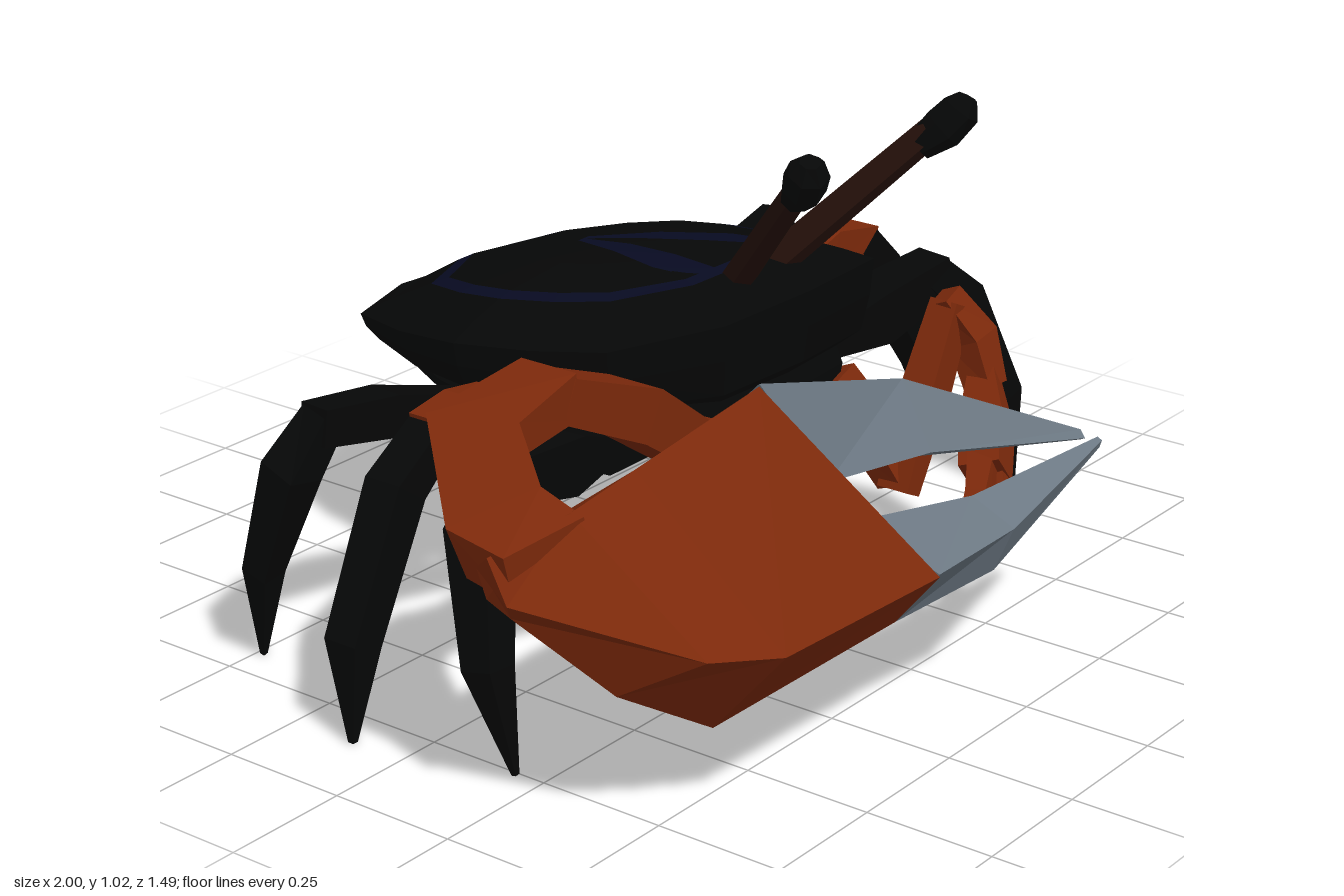
import * as THREE from 'three';

const V = (x, y, z) => new THREE.Vector3(x, y, z);
const mat = (color) => new THREE.MeshStandardMaterial({ color, flatShading: true, side: THREE.DoubleSide });
const SHELL = mat(0x060707), BLUE = mat(0x080b22), RUST = mat(0x7c290b), GREY = mat(0x6c7883), STALK = mat(0x26110a);

// Skin a list of equal-sized rings; faces are turned outward from the centre point
function loft(name, rings, material, { caps = true, centre = null } = {}) {
  const n = rings[0].length, pts = rings.flat(), idx = [];
  const mean = (list) => list.reduce((a, p) => a.add(p), V(0, 0, 0)).divideScalar(list.length);
  const ref = centre || mean(pts);
  for (let r = 0; r < rings.length - 1; r++) {
    for (let i = 0; i < n; i++) {
      const a = r * n + i, b = r * n + (i + 1) % n;
      idx.push(a, b, a + n, b, b + n, a + n);
    }
  }
  if (caps) {
    const last = (rings.length - 1) * n;
    const c0 = pts.push(mean(rings[0])) - 1, c1 = pts.push(mean(rings[rings.length - 1])) - 1;
    for (let i = 0; i < n; i++) {
      const j = (i + 1) % n;
      idx.push(c0, j, i, c1, last + i, last + j);
    }
  }
  let volume = 0;
  for (let k = 0; k < idx.length; k += 3) {
    const [a, b, c] = [0, 1, 2].map((q) => pts[idx[k + q]].clone().sub(ref));
    volume += a.dot(b.cross(c));
  }
  if (volume < 0) idx.reverse();
  const g = new THREE.BufferGeometry().setFromPoints(pts);
  g.setIndex(idx);
  g.computeVertexNormals();
  const mesh = new THREE.Mesh(g, material);
  mesh.name = name;
  return mesh;
}

// Jointed limb: nodes are [x, y, z, half height, half width]
function limb(name, nodes, material, sides = 4) {
  const p = nodes.map((q) => V(q[0], q[1], q[2]));
  const rings = nodes.map((q, k) => {
    const t = p[Math.min(k + 1, p.length - 1)].clone().sub(p[Math.max(k - 1, 0)]).normalize();
    const w = V(0, 0, 1).addScaledVector(t, -t.z).normalize();
    const h = t.clone().cross(w);
    return Array.from({ length: sides }, (_, i) => {
      const a = (i + 0.5) / sides * Math.PI * 2, corner = sides === 4 ? 1.41 : 1;
      return p[k].clone().addScaledVector(h, Math.sin(a) * q[3] * corner)
        .addScaledVector(w, Math.cos(a) * (q[4] ?? q[3]) * corner);
    });
  });
  return loft(name, rings, material);
}

// Piecewise linear lookup, table sorted by its first column
function lookup(table, v) {
  for (let i = 1; i < table.length; i++) {
    const [a, ya] = table[i - 1], [b, yb] = table[i];
    if (v <= b) return ya + (yb - ya) * Math.max(0, (v - a) / (b - a));
  }
  return table[table.length - 1][1];
}

function buildBody() {
  const body = new THREE.Group();
  body.name = 'body';
  const cx = 0.02, cz = -0.2, centre = V(cx, 0.5, cz);
  const half = [[0, -0.75], [0.27, -0.61], [0.35, -0.44], [0.39, -0.27], [0.38, -0.1], [0.34, 0.05], [0.23, 0.23], [0, 0.25]];
  const outline = [...half, ...half.slice(1, -1).reverse().map(([x, z]) => [-x, z])];
  const rim = (z) => lookup([[-0.75, 0.47], [-0.6, 0.52], [-0.27, 0.57], [0.05, 0.61], [0.25, 0.675]], z);
  const ridge = (z) => lookup([[-0.75, 0.48], [-0.57, 0.59], [-0.3, 0.655], [0, 0.705], [0.14, 0.755], [0.25, 0.755]], z);
  const belly = (z) => lookup([[-0.6, 0.41], [-0.3, 0.385], [0.05, 0.365], [0.25, 0.4]], z);
  const topY = (z, s) => rim(z) + (ridge(z) - rim(z)) * (1 - s ** 3);
  const top = (s) => outline.map(([x, z]) => {
    const zz = cz + (z - cz) * s;
    return V(cx + x * s, topY(zz, s), zz);
  });
  // Lower rings: the face stays steep in front, and the belly stops short of the tail
  const under = (s, t) => outline.map(([x, z]) => {
    const sz = z > 0.2 && s > 0.5 ? (1 + s) / 2 : s;
    const zz = Math.max(cz + (z - cz) * sz, t > 0.6 ? -0.58 : -0.75);
    return V(cx + x * s, rim(zz) + (belly(zz) - rim(zz)) * t, zz);
  });
  const open = { caps: false, centre };

  // Domed shell with a dark blue horseshoe band
  body.add(loft('carapaceEdge', [top(1), top(0.88), top(0.72)], SHELL, open));
  body.add(loft('carapaceBand', [top(0.72), top(0.65)], BLUE, open));
  body.add(loft('carapaceCentre', [top(0.65), top(0.35), top(0)], SHELL, open));
  // Overhanging rim, groove and belly
  body.add(loft('underside', [top(1), under(0.98, 0.25), under(0.93, 0.5), under(0.78, 0.58),
    under(0.82, 0.72), under(0.79, 0.92), under(0.68, 1), under(0, 1)], SHELL, open));

  // Forked mark on the shell
  for (const side of [1, -1]) {
    const steps = [[0, 0.015, -0.28], [0.02, 0.07, -0.15], [0.05, 0.12, -0.02], [0.085, 0.13, 0.1]];
    const pos = [], idx = [];
    steps.forEach(([a, b, z], k) => {
      for (const x of [a, b]) {
        const s = Math.hypot(x / 0.39, (z - cz) / 0.46);
        pos.push(V(cx + side * x, topY(z, s) + 0.006, z));
      }
      if (k) {
        const o = 2 * k;
        idx.push(o - 2, o, o - 1, o - 1, o, o + 1);
      }
    });
    if (side < 0) idx.reverse();
    const g = new THREE.BufferGeometry().setFromPoints(pos);
    g.setIndex(idx);
    g.computeVertexNormals();
    const mark = new THREE.Mesh(g, BLUE);
    mark.name = 'shellMark';
    body.add(mark);
  }
  return body;
}

function buildEyes() {
  const eyes = new THREE.Group();
  eyes.name = 'eyes';
  for (const s of [1, -1]) {
    const x = (d) => 0.02 + s * d;
    eyes.add(limb('eyeStalk', [[x(0.06), 0.69, 0.13, 0.032], [x(0.2), 0.95, 0.37, 0.027]], STALK, 6));
    eyes.add(limb('eye', [[x(0.19), 0.92, 0.35, 0.028], [x(0.215), 0.955, 0.385, 0.041],
      [x(0.235), 0.99, 0.41, 0.038], [x(0.242), 1.012, 0.418, 0.02]], SHELL, 7));
  }
  return eyes;
}

function buildLegs() {
  const legs = new THREE.Group();
  legs.name = 'legs';
  const add = (name, thighMat, hip, thigh, shin) => {
    legs.add(limb(name + 'Hip', hip, thighMat));
    legs.add(limb(name + 'Thigh', thigh, thighMat));
    legs.add(limb(name + 'Shin', shin, SHELL));
  };
  // Left side, spread wide
  add('leftFrontLeg', SHELL, [[0.22, 0.41, 0.02, 0.035], [0.38, 0.42, 0.035, 0.035]],
    [[0.36, 0.42, 0.03, 0.028], [0.5, 0.45, 0.055, 0.055, 0.05], [0.69, 0.49, 0.08, 0.04]],
    [[0.65, 0.5, 0.08, 0.035], [0.73, 0.42, 0.1, 0.045], [0.82, 0.2, 0.155, 0.035], [0.815, 0, 0.195, 0.005]]);
  add('leftMiddleLeg', RUST, [[0.22, 0.43, -0.11, 0.03], [0.42, 0.45, -0.11, 0.032]],
    [[0.39, 0.45, -0.11, 0.035], [0.5, 0.51, -0.11, 0.04], [0.58, 0.535, -0.11, 0.033], [0.7, 0.51, -0.11, 0.037]],
    [[0.68, 0.52, -0.11, 0.03, 0.038], [0.75, 0.44, -0.11, 0.04], [0.94, 0.19, -0.11, 0.036], [0.99, 0, -0.11, 0.006]]);
  add('leftRearLeg', SHELL, [[0.24, 0.4, -0.26, 0.035], [0.4, 0.43, -0.275, 0.035]],
    [[0.38, 0.44, -0.27, 0.03], [0.54, 0.48, -0.29, 0.04], [0.72, 0.5, -0.33, 0.035]],
    [[0.68, 0.51, -0.32, 0.03], [0.76, 0.42, -0.36, 0.04], [0.88, 0.2, -0.43, 0.028], [0.93, 0, -0.485, 0.005]]);
  // Right side, tucked under more steeply
  add('rightFrontLeg', SHELL, [[-0.18, 0.41, 0.02, 0.035], [-0.34, 0.42, 0.035, 0.035]],
    [[-0.32, 0.42, 0.03, 0.028], [-0.46, 0.45, 0.05, 0.055, 0.05], [-0.68, 0.49, 0.08, 0.04]],
    [[-0.65, 0.5, 0.08, 0.035], [-0.73, 0.42, 0.1, 0.045], [-0.78, 0.2, 0.155, 0.033], [-0.76, 0, 0.195, 0.005]]);
  add('rightMiddleLeg', RUST, [[-0.18, 0.43, -0.11, 0.03], [-0.38, 0.45, -0.11, 0.032]],
    [[-0.35, 0.45, -0.11, 0.035], [-0.46, 0.51, -0.11, 0.04], [-0.54, 0.53, -0.11, 0.033], [-0.62, 0.51, -0.11, 0.037]],
    [[-0.6, 0.52, -0.11, 0.03, 0.038], [-0.71, 0.44, -0.11, 0.04], [-0.83, 0.19, -0.11, 0.036], [-0.84, 0, -0.11, 0.006]]);
  add('rightRearLeg', SHELL, [[-0.2, 0.4, -0.26, 0.035], [-0.36, 0.43, -0.275, 0.035]],
    [[-0.34, 0.44, -0.27, 0.03], [-0.53, 0.48, -0.3, 0.04], [-0.69, 0.5, -0.32, 0.035]],
    [[-0.66, 0.51, -0.32, 0.03], [-0.73, 0.42, -0.34, 0.04], [-0.72, 0.2, -0.43, 0.028], [-0.675, 0, -0.485, 0.005]]);
  return legs;
}

function buildBigClaw() {
  const claw = new THREE.Group();
  claw.name = 'bigClaw';
  // Each section is a list of [x, y, z] corners
  const skin = (name, m, sections) => claw.add(loft(name, sections.map((c) => c.map((q) => V(...q))), m));
  // Arched arm from the body, bending forward at the wrist into the palm
  claw.add(limb('bigClawArm', RUST && [[-0.14, 0.42, 0.18, 0.035], [-0.28, 0.46, 0.2, 0.045, 0.055],
    [-0.45, 0.58, 0.2, 0.05, 0.06], [-0.68, 0.68, 0.2, 0.04, 0.062]], RUST));
  skin('bigClawWrist', RUST, [
    [[-0.66, 0.725, 0.14], [-0.66, 0.725, 0.26], [-0.66, 0.64, 0.26], [-0.66, 0.64, 0.14]],
    [[-0.88, 0.69, 0.12], [-0.82, 0.69, 0.27], [-0.8, 0.63, 0.27], [-0.84, 0.57, 0.14]],
    [[-0.995, 0.56, 0.26], [-0.84, 0.6, 0.33], [-0.81, 0.5, 0.33], [-0.97, 0.47, 0.28]],
    [[-0.995, 0.54, 0.38], [-0.84, 0.57, 0.42], [-0.82, 0.46, 0.42], [-0.97, 0.45, 0.38]],
  ]);
  skin('bigClawPalm', RUST, [
    [[-0.98, 0.5, 0.31], [-1, 0.535, 0.35], [-1, 0.46, 0.39], [-0.98, 0.43, 0.38], [-0.98, 0.45, 0.33]],
    [[-0.83, 0.51, 0.31], [-0.85, 0.575, 0.4], [-0.82, 0.37, 0.655], [-0.86, 0.28, 0.5], [-0.84, 0.38, 0.36]],
    [[-0.73, 0.5, 0.28], [-0.72, 0.615, 0.43], [-0.71, 0.36, 0.73], [-0.68, 0.17, 0.56], [-0.7, 0.33, 0.38]],
    [[-0.36, 0.53, 0.3], [-0.38, 0.655, 0.43], [-0.28, 0.35, 0.74], [-0.28, 0.24, 0.65], [-0.3, 0.37, 0.42]],
  ]);
  skin('upperFinger', GREY, [
    [[-0.36, 0.53, 0.3], [-0.38, 0.66, 0.43], [-0.27, 0.46, 0.5], [-0.27, 0.43, 0.43]],
    [[-0.05, 0.5, 0.455], [-0.05, 0.585, 0.5], [-0.05, 0.46, 0.565], [-0.05, 0.44, 0.52]],
    [[0.3, 0.405, 0.65], [0.3, 0.415, 0.66], [0.3, 0.4, 0.67], [0.3, 0.395, 0.66]],
  ]);
  skin('lowerFinger', GREY, [
    [[-0.28, 0.41, 0.57], [-0.28, 0.355, 0.74], [-0.28, 0.24, 0.65], [-0.28, 0.32, 0.54]],
    [[-0.03, 0.39, 0.64], [-0.03, 0.35, 0.73], [-0.03, 0.26, 0.69], [-0.03, 0.32, 0.63]],
    [[0.31, 0.405, 0.69], [0.31, 0.4, 0.7], [0.31, 0.385, 0.695], [0.31, 0.39, 0.685]],
  ]);
  return claw;
}

function buildSmallClaw() {
  const claw = new THREE.Group();
  claw.name = 'smallClaw';
  // Drops from the body to a low elbow, rises to the wrist, then hangs forward to the fingers
  const parts = {
    smallClawBase: [[0.2, 0.44, 0.18, 0.03], [0.24, 0.33, 0.235, 0.037], [0.27, 0.23, 0.28, 0.03]],
    smallClawArm: [[0.25, 0.215, 0.295, 0.022, 0.035], [0.33, 0.38, 0.295, 0.036], [0.41, 0.55, 0.3, 0.03]],
    smallClawWrist: [[0.4, 0.565, 0.29, 0.025], [0.435, 0.48, 0.335, 0.035], [0.43, 0.39, 0.37, 0.03]],
    smallClawHand: [[0.44, 0.41, 0.36, 0.025], [0.36, 0.35, 0.42, 0.042], [0.28, 0.285, 0.47, 0.04]],
    smallClawUpperFinger: [[0.29, 0.31, 0.46, 0.026], [0.21, 0.27, 0.5, 0.02], [0.125, 0.22, 0.52, 0.008]],
    smallClawLowerFinger: [[0.3, 0.27, 0.48, 0.026], [0.26, 0.22, 0.52, 0.02], [0.21, 0.195, 0.54, 0.008]],
  };
  for (const [name, nodes] of Object.entries(parts)) claw.add(limb(name, nodes, RUST));
  return claw;
}

export function createModel() {
  const model = new THREE.Group();
  model.name = 'crab';
  model.add(buildBody(), buildEyes(), buildLegs(), buildBigClaw(), buildSmallClaw());
  return model;
}
